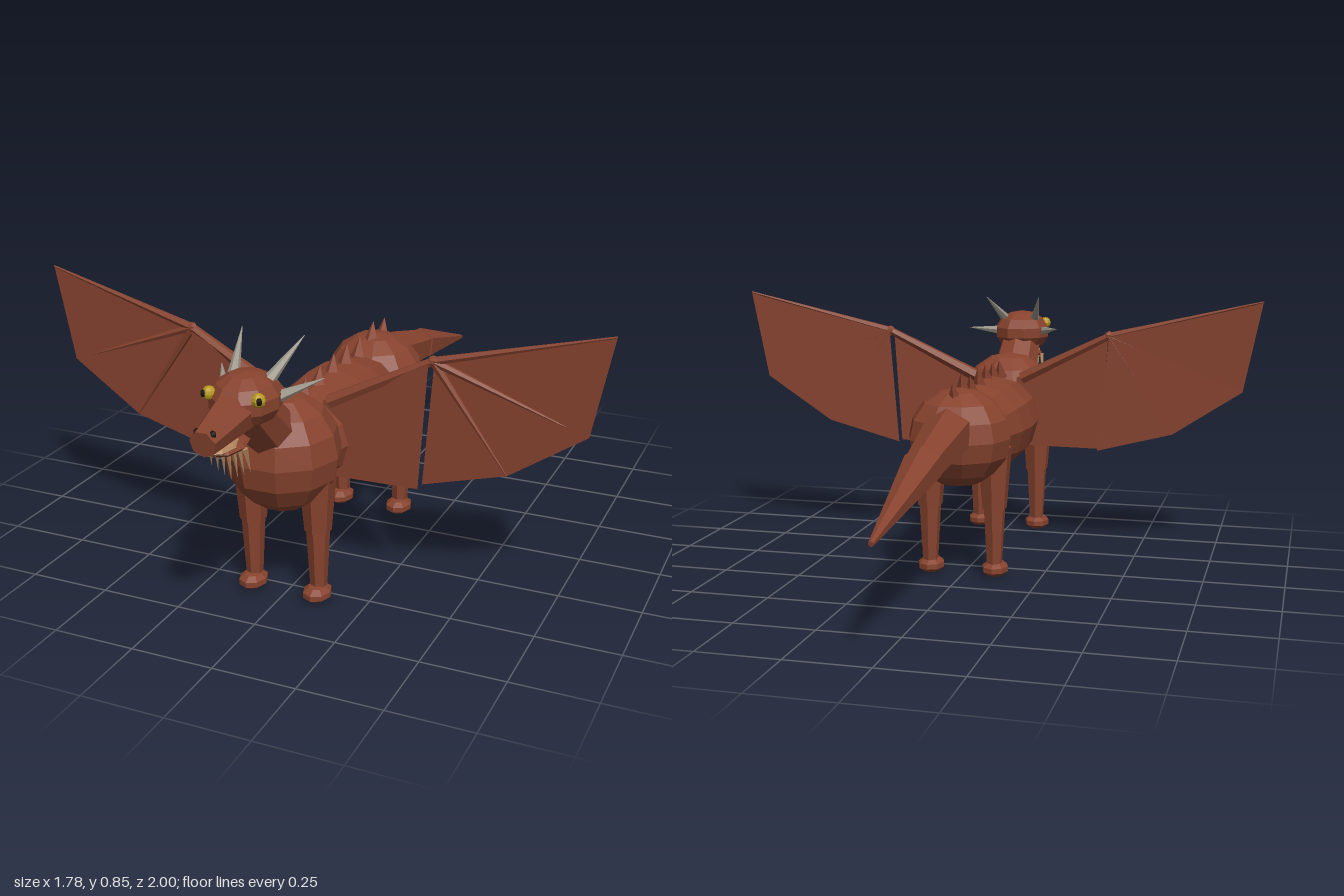
import * as THREE from 'three';

const flat = (name, color, side = THREE.FrontSide) => {
  const m = new THREE.MeshStandardMaterial({ color, flatShading: true, side });
  m.name = name;
  return m;
};

export function createModel() {
  const hide = flat('reddish brown hide', 0x87432e);
  const wingSkin = flat('wing membrane', 0x87432f, THREE.DoubleSide);
  const horn = flat('grey horn', 0x9c978a);
  const tan = flat('tan whiskers', 0xb0835c);
  const yellow = flat('yellow eye', 0xb89a1c);
  const black = flat('black', 0x17120f);
  const root = new THREE.Group();
  root.name = 'dragon';

  const add = (name, geo, mat) => {
    const mesh = new THREE.Mesh(geo, mat);
    mesh.name = name;
    root.add(mesh);
    return mesh;
  };
  // Low-poly ellipsoid
  const ball = (name, mat, p, r, w = 10, h = 8) => {
    const m = add(name, new THREE.SphereGeometry(1, w, h), mat);
    m.position.set(...p);
    m.scale.set(...r);
    return m;
  };
  // Tapered limb running from point a to point b
  const limb = (name, mat, a, b, ra, rb, sides = 6) => {
    const A = new THREE.Vector3(...a), B = new THREE.Vector3(...b);
    const dir = B.clone().sub(A);
    const m = add(name, new THREE.CylinderGeometry(rb, ra, dir.length(), sides), mat);
    m.position.copy(A).lerp(B, 0.5);
    m.quaternion.setFromUnitVectors(new THREE.Vector3(0, 1, 0), dir.normalize());
    return m;
  };
  // Flat fan of triangles through an outline
  const sheet = (name, pts) => {
    const g = new THREE.BufferGeometry();
    g.setAttribute('position', new THREE.Float32BufferAttribute(pts.flat(), 3));
    const idx = [];
    for (let i = 1; i < pts.length - 1; i++) idx.push(0, i, i + 1);
    g.setIndex(idx);
    g.computeVertexNormals();
    return add(name, g, wingSkin);
  };

  // Torso
  ball('chest', hide, [0, 0.462, 0.545], [0.172, 0.178, 0.168]);
  const bellyGeo = new THREE.SphereGeometry(1, 12, 10).rotateX(Math.PI / 2);
  const belly = add('belly', bellyGeo, hide);
  belly.position.set(0, 0.44, 0.2);
  belly.scale.set(0.163, 0.153, 0.38);
  ball('hips', hide, [0, 0.453, -0.138], [0.163, 0.155, 0.163]);

  // Tail
  limb('tailBase', hide, [0, 0.488, -0.27], [0, 0.438, -0.54], 0.078, 0.055);
  limb('tailEnd', hide, [0, 0.44, -0.535], [0, 0.328, -0.998], 0.06, 0.008);

  // Back spikes, leaning towards the tail
  const spikes = [[0.4, 0.57], [0.3, 0.575], [0.2, 0.58], [0.1, 0.58], [0, 0.57], [-0.11, 0.59], [-0.205, 0.575]];
  spikes.forEach(([z, y]) => limb('backSpike', hide, [0, y, z + 0.012], [0, y + 0.06, z - 0.012], 0.024, 0, 4));

  // Neck, head and snout
  limb('neck', hide, [0, 0.5, 0.575], [0, 0.69, 0.765], 0.085, 0.068, 8);
  ball('head', hide, [0, 0.695, 0.755], [0.1, 0.077, 0.115], 10, 7);
  limb('snout', hide, [0, 0.683, 0.8], [0, 0.652, 0.995], 0.066, 0.038, 7);
  ball('mouth', tan, [0, 0.611, 0.895], [0.04, 0.014, 0.07], 8, 6);
  ball('lowerJaw', hide, [0, 0.603, 0.868], [0.052, 0.016, 0.085], 8, 6);

  // Chin whiskers
  for (let i = -3; i <= 3; i++) {
    const x = i * 0.017, len = 0.105 - Math.abs(i) * 0.012;
    limb('chinWhisker', tan, [x, 0.6, 0.868], [x * 1.15, 0.595 - len, 0.852], 0.009, 0, 5);
  }

  for (const s of [1, -1]) {
    // Face
    ball('eye', yellow, [s * 0.073, 0.722, 0.825], [0.02, 0.02, 0.02], 8, 6);
    ball('pupil', black, [s * 0.082, 0.724, 0.839], [0.009, 0.011, 0.009], 6, 5);
    ball('nostril', black, [s * 0.021, 0.677, 0.982], [0.012, 0.012, 0.012], 6, 5);
    limb('upperHorn', horn, [s * 0.05, 0.735, 0.735], [s * 0.095, 0.832, 0.59], 0.019, 0.001);
    limb('sideHorn', horn, [s * 0.08, 0.7, 0.73], [s * 0.158, 0.72, 0.6], 0.017, 0.001);

    // Legs and feet
    [['front', 0.54], ['hind', -0.105]].forEach(([n, z]) => {
      const x = s * 0.105;
      limb(n + 'UpperLeg', hide, [x, 0.42, z], [x, 0.225, z], 0.056, 0.04);
      limb(n + 'LowerLeg', hide, [x, 0.24, z], [x, 0.045, z], 0.036, 0.025);
      ball(n + 'Foot', hide, [x, 0.028, z + 0.01], [0.044, 0.026, 0.054], 8, 5);
    });

    // Wing bones
    const elbow = [s * 0.385, 0.725, 0.368];
    limb('wingArm', hide, [s * 0.08, 0.57, 0.4], elbow, 0.022, 0.013);
    limb('wingFinger', hide, elbow, [s * 0.89, 0.852, 0.336], 0.013, 0.003);
    limb('wingFinger', hide, elbow, [s * 0.765, 0.58, 0.345], 0.013, 0.002);
    limb('wingFinger', hide, elbow, [s * 0.605, 0.405, 0.348], 0.013, 0.002);
    ball('wingElbow', hide, elbow, [0.017, 0.017, 0.015], 6, 5);

    // Wing membranes: inner panel, then outer panel set slightly further back
    sheet('innerWing', [
      [s * 0.06, 0.57, 0.4], [s * 0.378, 0.72, 0.388], [s * 0.352, 0.335, 0.388], [s * 0.06, 0.335, 0.4],
    ]);
    sheet('outerWing', [
      [s * 0.385, 0.725, 0.356], [s * 0.89, 0.852, 0.336], [s * 0.832, 0.555, 0.338],
      [s * 0.605, 0.403, 0.345], [s * 0.352, 0.335, 0.352],
    ]);
  }
  return root;
}
